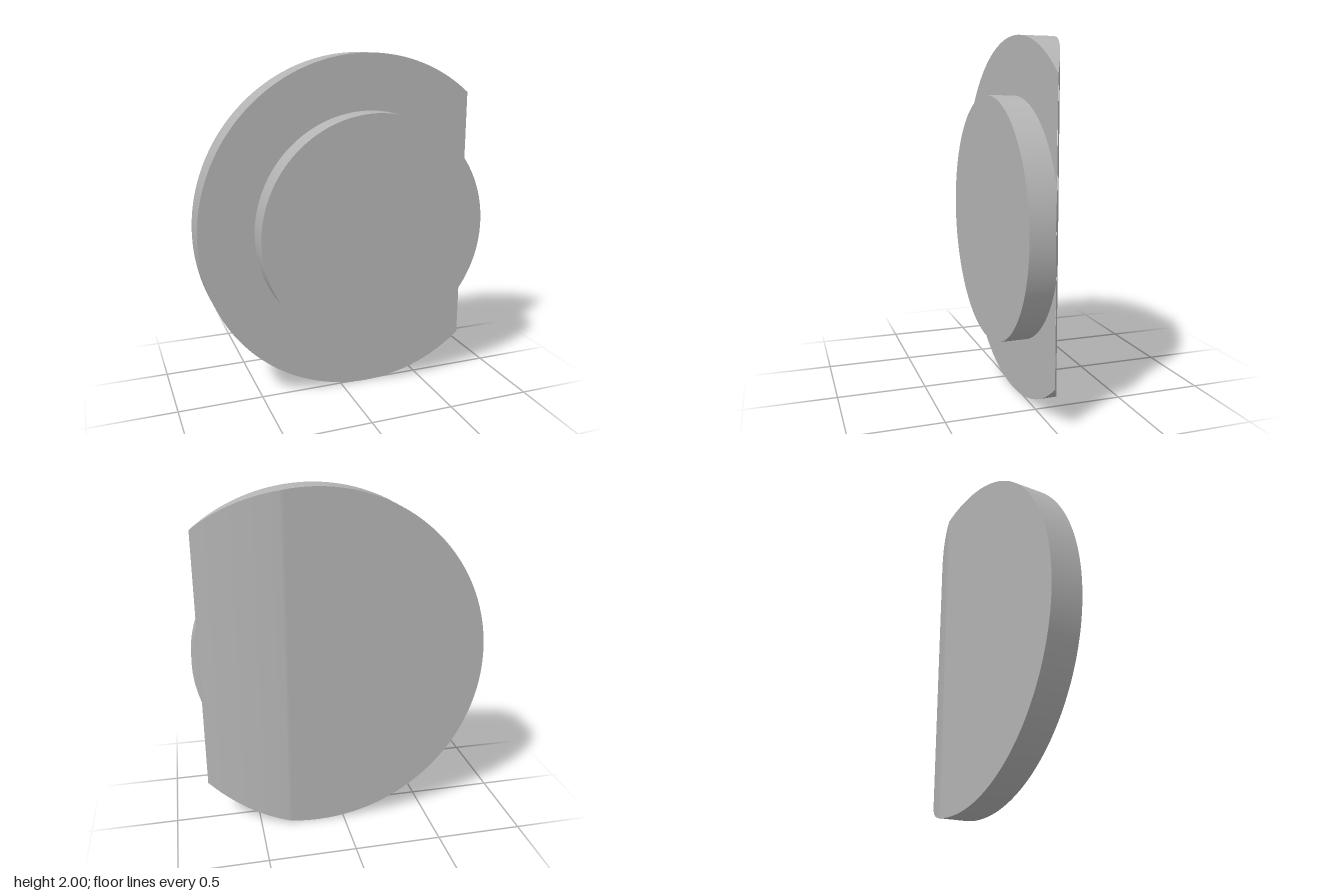
import * as THREE from 'three';

const CX = 0.16, CY = 1;           // shared axis of both discs
const BACK = -0.167, STEP = 0.014, FRONT = 0.167;
const CUT_X = 0.33, EDGE_X = 0.8;  // where the curved relief starts and meets the step

// Curved relief that shaves the back of the right-hand side
function reliefZ(x) {
  const t = Math.max(0, x - CUT_X);
  return BACK + 0.254 * t + 0.275 * t * t;
}
function reliefSlope(x) {
  if (x < CUT_X - 1e-6) return 0;
  if (x < CUT_X + 1e-6) return 0.127;
  return 0.254 + 0.55 * (x - CUT_X);
}

// Disc facing +z, lofted from rectangular slices along x, with the relief cut from its back
function reliefDisc(radius, backZ, frontZ, endX) {
  const xs = [];
  for (let i = 0; i <= 160; i++) xs.push(CX - radius * Math.cos(Math.PI * i / 160));
  xs.push(CUT_X, EDGE_X, endX);
  const columns = [...new Set(xs)].filter(x => x <= endX + 1e-9).sort((a, b) => a - b);

  const slices = columns.map(x => {
    const dx = x - CX;
    const h = Math.sqrt(Math.max(0, radius * radius - dx * dx));
    const zb = Math.min(frontZ, Math.max(backZ, reliefZ(x)));
    const slope = reliefZ(x) >= backZ - 1e-6 ? reliefSlope(x) : 0;
    const len = Math.hypot(slope, 1);
    return {
      corners: [[x, CY - h, frontZ], [x, CY + h, frontZ], [x, CY + h, zb], [x, CY - h, zb]],
      // front, top rim, back, bottom rim
      normals: [[0, 0, 1], [dx / radius, h / radius, 0], [slope / len, 0, -1 / len], [dx / radius, -h / radius, 0]],
    };
  });

  const position = [], normal = [], index = [];
  for (let side = 0; side < 4; side++) {
    const base = position.length / 3;
    slices.forEach((s, i) => {
      position.push(...s.corners[side], ...s.corners[(side + 1) % 4]);
      normal.push(...s.normals[side], ...s.normals[side]);
      if (i === 0) return;
      const a0 = base + 2 * (i - 1), b0 = a0 + 1, a1 = a0 + 2, b1 = a0 + 3;
      index.push(a0, a1, b1, a0, b1, b0);
    });
  }
  const geometry = new THREE.BufferGeometry();
  geometry.setAttribute('position', new THREE.Float32BufferAttribute(position, 3));
  geometry.setAttribute('normal', new THREE.Float32BufferAttribute(normal, 3));
  geometry.setIndex(index);
  return geometry;
}

export function createModel() {
  const group = new THREE.Group();
  group.name = 'steppedDisc';
  const grey = new THREE.MeshStandardMaterial({ color: 0xb4b4b4 });
  grey.name = 'grey';

  // Wide rear flange, ending in a straight knife edge
  const flange = new THREE.Mesh(reliefDisc(1, BACK, STEP, EDGE_X), grey);
  flange.name = 'flange';

  // Smaller raised boss on the front
  const boss = new THREE.Mesh(reliefDisc(0.68, STEP, FRONT, CX + 0.68), grey);
  boss.name = 'boss';

  group.add(flange, boss);
  return group;
}
